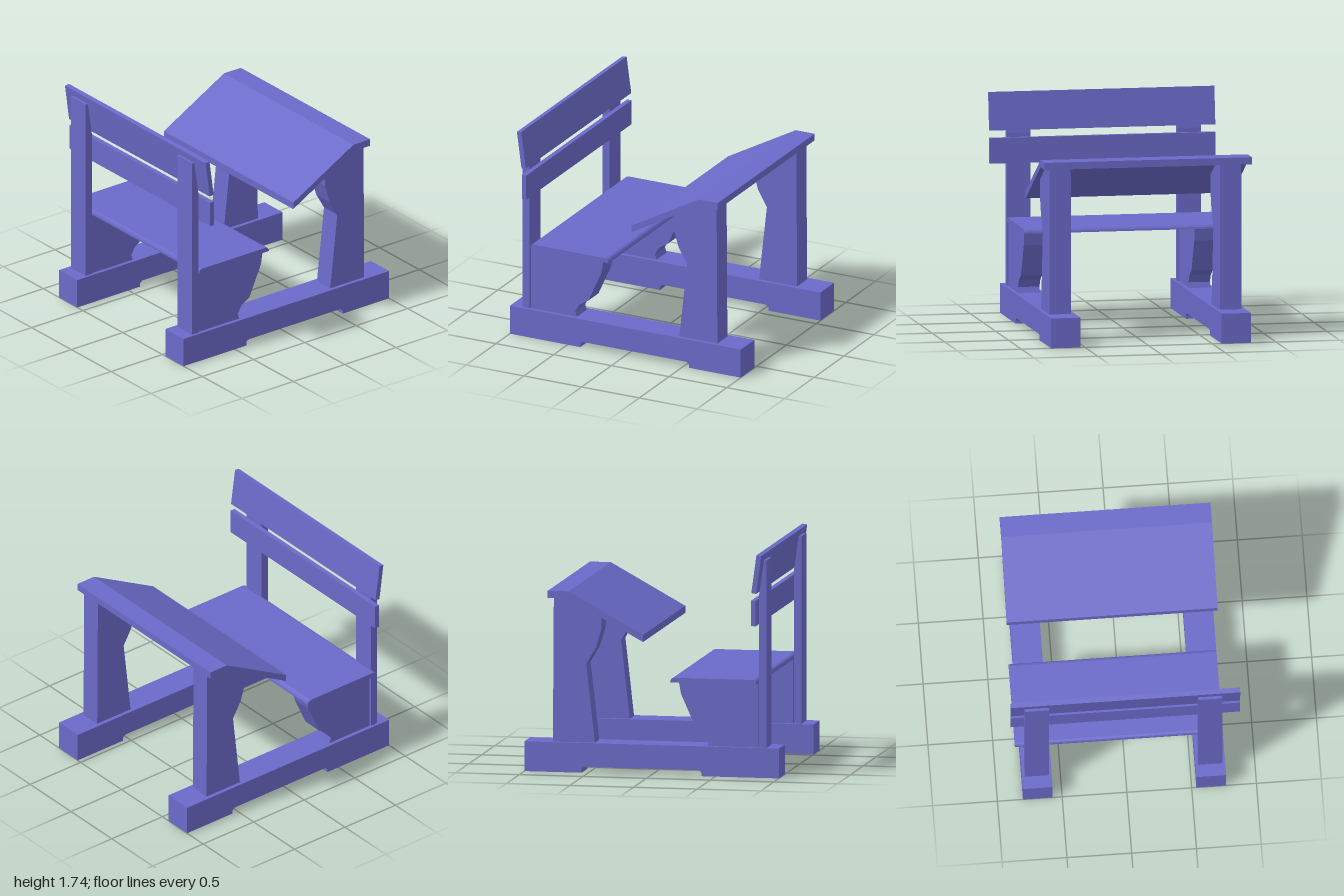
import * as THREE from 'three';

export function createModel() {
  const model = new THREE.Group();
  model.name = 'schoolBench';

  const paint = new THREE.MeshStandardMaterial({ color: 0x6a69c8 });
  paint.name = 'violet paint';

  // Board with an (x, y) side profile, running across from z0 to z1
  function board(name, profile, z0, z1) {
    const shape = new THREE.Shape(profile.map(([x, y]) => new THREE.Vector2(x, y)));
    const geometry = new THREE.ExtrudeGeometry(shape, { depth: z1 - z0, bevelEnabled: false });
    geometry.translate(0, 0, z0);
    const mesh = new THREE.Mesh(geometry, paint);
    mesh.name = name;
    model.add(mesh);
  }

  // Floor runner with a shallow cut-out underneath
  const runner = [
    [-1, 0], [-0.39, 0], [-0.39, 0.025], [-0.382, 0.039], [-0.365, 0.046],
    [0.525, 0.046], [0.542, 0.039], [0.55, 0.025], [0.55, 0], [1, 0],
    [1, 0.232], [-1, 0.232],
  ];
  // Upright carrying the backrest, cut back at the top
  const post = [[-0.9, 0.232], [-0.84, 0.232], [-0.84, 1.42], [-0.878, 1.69], [-0.9, 1.69]];
  // Curved panel under the seat
  const seatPanel = [
    [-0.833, 0.232], [-0.435, 0.232], [-0.45, 0.275], [-0.415, 0.335],
    [-0.335, 0.385], [-0.225, 0.63], [-0.207, 0.73], [-0.833, 0.73],
  ];
  // Waisted leg under the desk
  const deskLeg = [
    [0.452, 0.232], [0.782, 0.232], [0.775, 1.36], [0.643, 1.36], [0.4, 1.228],
    [0.4, 1.12], [0.445, 0.97], [0.52, 0.84],
  ];

  // Two side frames, left (+z) and right (-z); s is the z of each frame's middle
  for (const [side, s] of [['Left', 0.651], ['Right', -0.688]]) {
    board('runner' + side, runner, s - 0.115, s + 0.115);
    board('backPost' + side, post, s - 0.093, s + 0.093);
    board('seatPanel' + side, seatPanel, s - 0.084, s + 0.084);
    board('deskLeg' + side, deskLeg, s - 0.084, s + 0.084);
  }

  // Seat with rounded upper edges
  board('seat', [
    [-0.832, 0.73], [-0.155, 0.73], [-0.158, 0.745], [-0.167, 0.759], [-0.183, 0.767],
    [-0.81, 0.767], [-0.825, 0.76], [-0.832, 0.745],
  ], -0.853, 0.747);

  // Backrest rails, the upper one leaning back
  board('lowerBackRail', [[-0.835, 1.19], [-0.797, 1.19], [-0.797, 1.388], [-0.835, 1.388]], -0.885, 0.885);
  board('upperBackRail', [[-0.838, 1.442], [-0.8, 1.447], [-0.84, 1.742], [-0.878, 1.737]], -0.885, 0.885);

  // Desk top: sloping writing surface with a level ledge
  board('deskTop', [
    [0.058, 1.037], [0.643, 1.36], [0.807, 1.36], [0.807, 1.415], [0.643, 1.415], [0.058, 1.092],
  ], -0.85, 0.778);

  return model;
}
